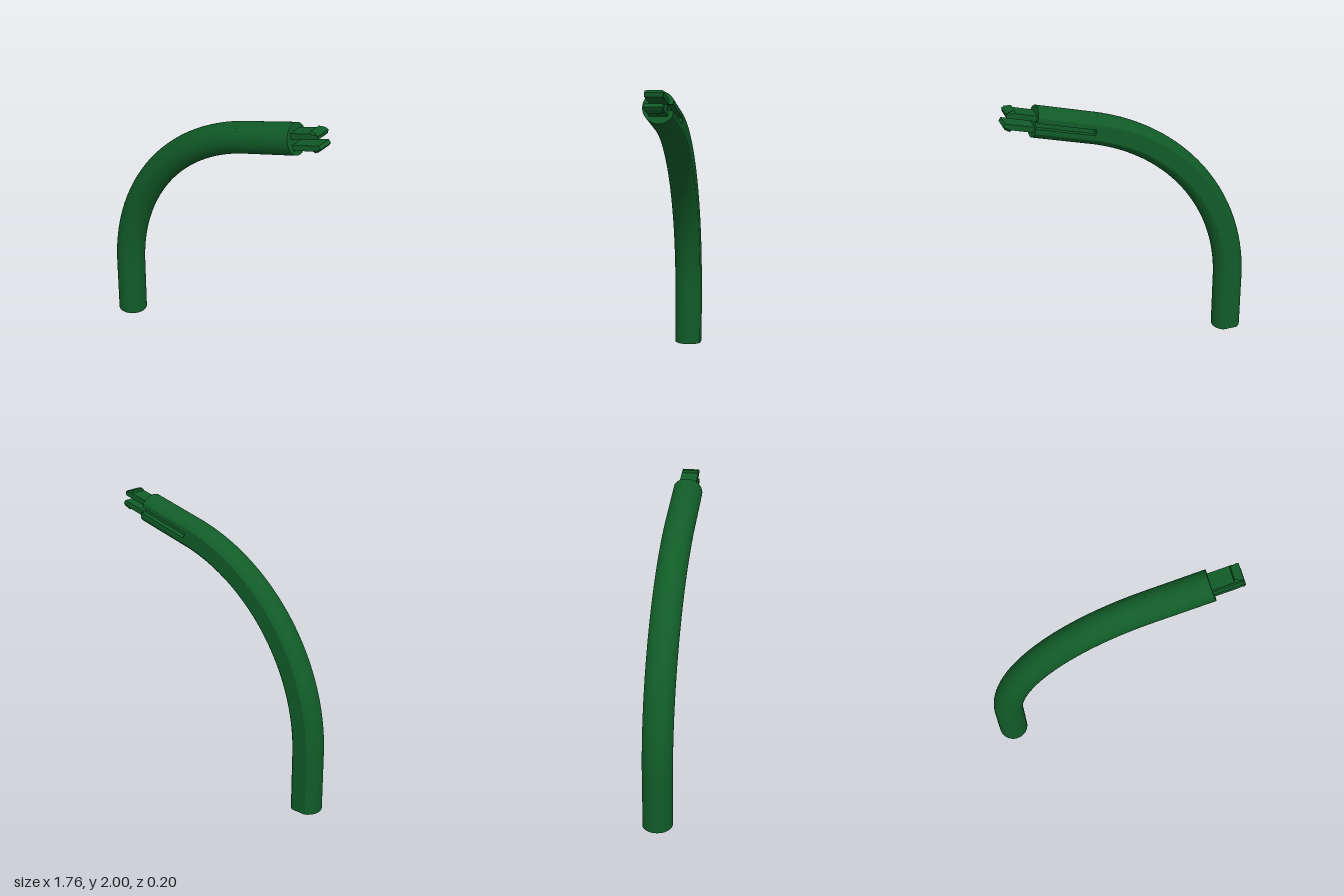
import * as THREE from 'three';
import { toCreasedNormals } from 'three/addons/utils/BufferGeometryUtils.js';

const R = 0.107;              // tube radius
const FLAT = 0.093;           // distance of the flat back from the tube axis
const Z = -0.007;             // tube axis depth
const TILT = Math.PI / 12;    // slope of the upper end
const BEND = 1.406;           // bend radius
const END = new THREE.Vector3(0.67, 1.883, Z);
const SLEEVE = 0.414;         // length of the grooved straight end

// D-shaped section: shape x points to the back (-z), shape y to the outside of the bend
function section(groove) {
  const a = Math.acos(FLAT / R);
  const s = new THREE.Shape();
  s.absarc(0, 0, R, a, Math.PI * 2 - a, false);
  if (groove) {
    s.lineTo(FLAT, -0.02);
    s.lineTo(0.055, -0.02);
    s.lineTo(0.055, 0.02);
    s.lineTo(FLAT, 0.02);
  }
  return s;
}

// Upright foot and circular bend, lofted from rings
function bentTube() {
  const pts = section(false).getPoints(48);
  const n = pts.length;
  const x0 = -0.772, y0 = 0.418, steps = 40;
  const stations = [[x0, 0, Math.PI / 2]];
  for (let i = 0; i <= steps; i++) {
    const turn = (Math.PI / 2 - TILT) * i / steps;
    stations.push([x0 + BEND * (1 - Math.cos(turn)), y0 + BEND * Math.sin(turn), Math.PI / 2 - turn]);
  }
  const pos = [], idx = [];
  for (const [x, y, dir] of stations) {
    for (const p of pts) pos.push(x - Math.sin(dir) * p.y, y + Math.cos(dir) * p.y, Z - p.x);
  }
  const last = stations.length - 1;
  const base = pos.length / 3;
  for (const k of [0, last]) pos.push(stations[k][0], stations[k][1], Z);
  for (let j = 0; j < n; j++) {
    const k = (j + 1) % n;
    for (let i = 0; i < last; i++) {
      const a = i * n + j, b = i * n + k;
      idx.push(a, b, b + n, a, b + n, a + n);
    }
    idx.push(base, k, j, base + 1, last * n + j, last * n + k);
  }
  const g = new THREE.BufferGeometry();
  g.setAttribute('position', new THREE.Float32BufferAttribute(pos, 3));
  g.setIndex(idx);
  return toCreasedNormals(g, 0.4);
}

// Straight end with a groove along its flat back
function groovedEnd() {
  const g = new THREE.ExtrudeGeometry(section(true), { depth: SLEEVE, bevelEnabled: false, curveSegments: 48 });
  g.rotateY(Math.PI / 2);
  g.translate(-SLEEVE, 0, 0);
  return toCreasedNormals(g, 0.4);
}

// Snap prong with a barbed head, narrowed at the crest of the barb
function prong() {
  const profile = [[-0.02, 0.02], [0.2, 0.02], [0.21, 0.045], [0.195, 0.06], [0.155, 0.076], [0.148, 0.058], [-0.02, 0.058]];
  const shape = new THREE.Shape(profile.map(([x, y]) => new THREE.Vector2(x, y)));
  const g = new THREE.ExtrudeGeometry(shape, { depth: 0.12, bevelEnabled: false });
  g.translate(0, 0, -0.06);
  const p = g.attributes.position;
  for (let i = 0; i < p.count; i++) if (p.getY(i) > 0.07) p.setZ(i, p.getZ(i) * 0.75);
  return toCreasedNormals(g, 0.3);
}

export function createModel() {
  const green = new THREE.MeshStandardMaterial({ color: 0x115c28 });
  green.name = 'dark green';
  const model = new THREE.Group();
  model.name = 'bentStem';
  const add = (parent, geometry, name) => {
    const m = new THREE.Mesh(geometry, green);
    m.name = name;
    parent.add(m);
    return m;
  };

  add(model, bentTube(), 'bentTube');

  const tip = new THREE.Group();
  tip.name = 'connectorEnd';
  tip.position.copy(END);
  tip.rotation.z = TILT;
  model.add(tip);
  add(tip, groovedEnd(), 'groovedEnd');
  const clip = prong();
  add(tip, clip, 'upperProng');
  add(tip, clip, 'lowerProng').rotation.x = Math.PI;
  return model;
}
